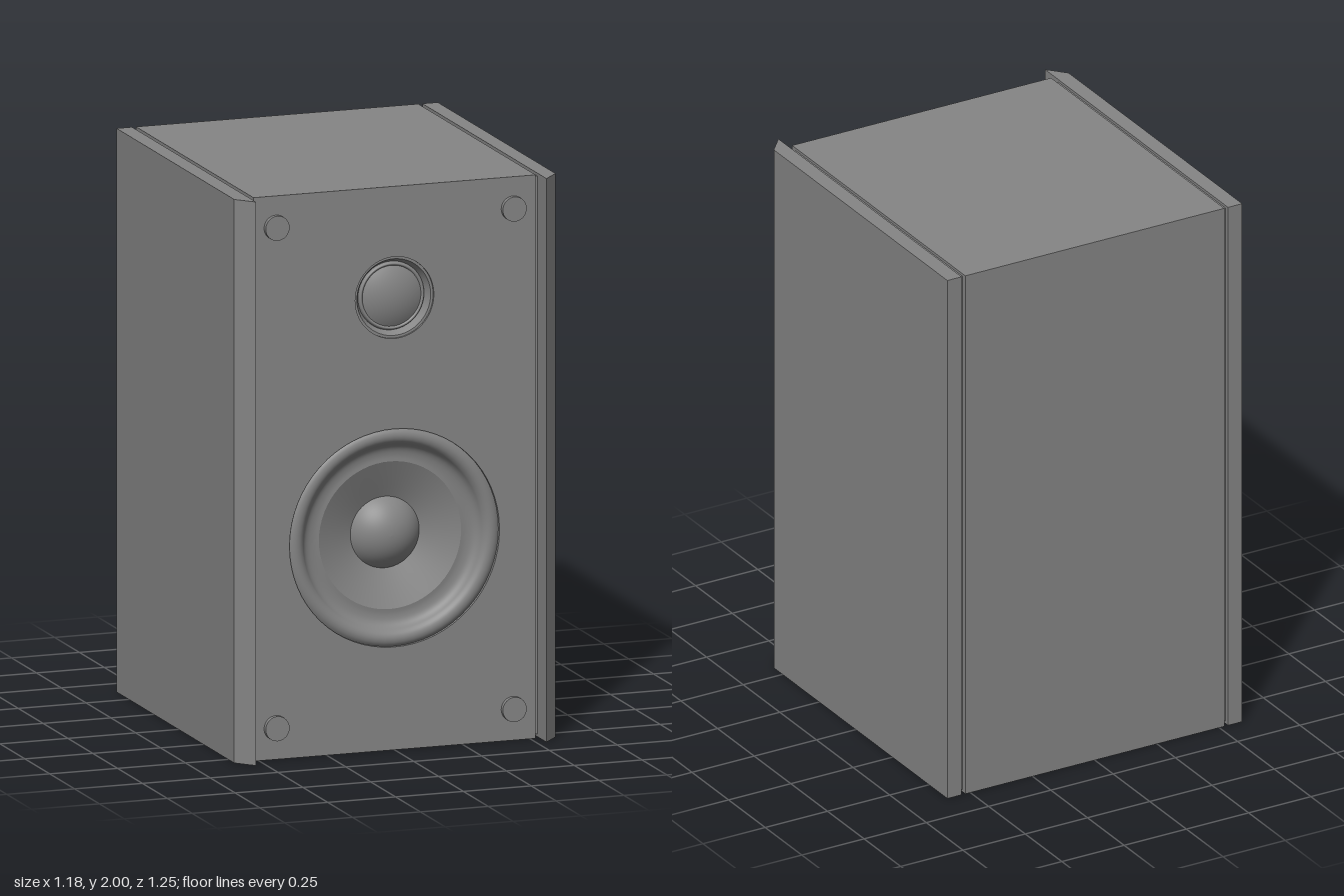
import * as THREE from 'three';

const material = new THREE.MeshStandardMaterial({ color: 0x858585 });
const FRONT = 0.557, BACK = -0.625, SPLIT = 0.32;
const WOOFER = { y: 0.752, r: 0.387 }, TWEETER = { y: 1.605, r: 0.145 };

function add(parent, name, geometry, x = 0, y = 0, z = 0) {
  const mesh = new THREE.Mesh(geometry, material);
  mesh.name = name;
  mesh.position.set(x, y, z);
  parent.add(mesh);
  return mesh;
}

// Ring surface facing +z; profile runs from the outside in as [radius, depth]
function ring(profile, smoothSteps = 0) {
  let points = profile.map(([r, z]) => new THREE.Vector2(r, z));
  if (smoothSteps) points = new THREE.SplineCurve(points).getPoints(smoothSteps);
  return new THREE.LatheGeometry(points, 64).rotateX(Math.PI / 2);
}

// Spherical cap profile
function dome(radius, base, height, steps = 12) {
  const R = (radius * radius + height * height) / (2 * height);
  const end = Math.asin(Math.min(1, radius / R));
  return Array.from({ length: steps + 1 }, (_, i) => {
    const a = end * (1 - i / steps);
    return [R * Math.sin(a), base + height - R + R * Math.cos(a)];
  });
}

export function createModel() {
  const model = new THREE.Group();
  model.name = 'bookshelfSpeaker';

  // Cabinet, with a front baffle cut out for both drivers
  const cabinet = new THREE.Group();
  cabinet.name = 'cabinet';
  model.add(cabinet);
  add(cabinet, 'cabinetBox', new THREE.BoxGeometry(1.04, 2, SPLIT - BACK), 0, 1, (SPLIT + BACK) / 2);
  const face = new THREE.Shape([[-0.52, 0], [0.52, 0], [0.52, 2], [-0.52, 2]].map(p => new THREE.Vector2(...p)));
  for (const { y, r } of [WOOFER, TWEETER]) {
    face.holes.push(new THREE.Path().absarc(0, y, r, 0, Math.PI * 2, true));
  }
  add(cabinet, 'baffle', new THREE.ExtrudeGeometry(face, {
    depth: FRONT - SPLIT, bevelEnabled: false, curveSegments: 32,
  }), 0, 0, SPLIT);

  // Side panels with a slanted front edge, joined by recessed spacers
  for (const side of [1, -1]) {
    const prefix = side > 0 ? 'left' : 'right';
    const outline = new THREE.Shape([[0.535, BACK], [0.592, BACK], [0.592, 0.56], [0.535, 0.625]]
      .map(([x, z]) => new THREE.Vector2(side * x, -z)));
    const panel = new THREE.ExtrudeGeometry(outline, { depth: 2, bevelEnabled: false }).rotateX(-Math.PI / 2);
    add(model, prefix + 'SidePanel', panel);
    add(model, prefix + 'Spacer', new THREE.BoxGeometry(0.02, 1.98, 1.14), side * 0.5275, 1, -0.037);

    // Grille mounting pegs
    for (const y of [0.112, 1.888]) {
      add(model, prefix + (y > 1 ? 'Upper' : 'Lower') + 'GrillePeg',
        new THREE.CylinderGeometry(0.044, 0.044, 0.03, 32).rotateX(Math.PI / 2), side * 0.437, y, 0.559);
    }
  }

  // Woofer: rounded surround with a valley, then cone and dust cap
  const woofer = new THREE.Group();
  woofer.name = 'woofer';
  woofer.position.set(0, WOOFER.y, FRONT);
  model.add(woofer);
  add(woofer, 'wooferSurround', ring([
    [WOOFER.r, -0.012], [0.375, -0.004], [0.36, -0.001], [0.345, -0.005], [0.333, -0.015],
    [0.325, -0.027], [0.315, -0.037], [0.3, -0.044], [0.28, -0.047], [0.262, -0.046],
  ], 27));
  add(woofer, 'wooferCone', ring([[0.262, -0.046], [0.21, -0.066], [0.165, -0.084], [0.12, -0.102]]));
  add(woofer, 'wooferDustCap', ring(dome(0.127, -0.099, 0.07)));

  // Tweeter: recessed flat rim, sloped wall, small roll and dome
  const tweeter = new THREE.Group();
  tweeter.name = 'tweeter';
  tweeter.position.set(0, TWEETER.y, FRONT);
  model.add(tweeter);
  add(tweeter, 'tweeterRim', ring([[TWEETER.r, -0.008], [0.136, -0.008]]));
  add(tweeter, 'tweeterWall', ring([[0.136, -0.008], [0.122, -0.036]]));
  add(tweeter, 'tweeterRoll', ring([[0.122, -0.036], [0.118, -0.028], [0.113, -0.026], [0.108, -0.03]], 12));
  add(tweeter, 'tweeterDome', ring(dome(0.108, -0.03, 0.026)));

  return model;
}
